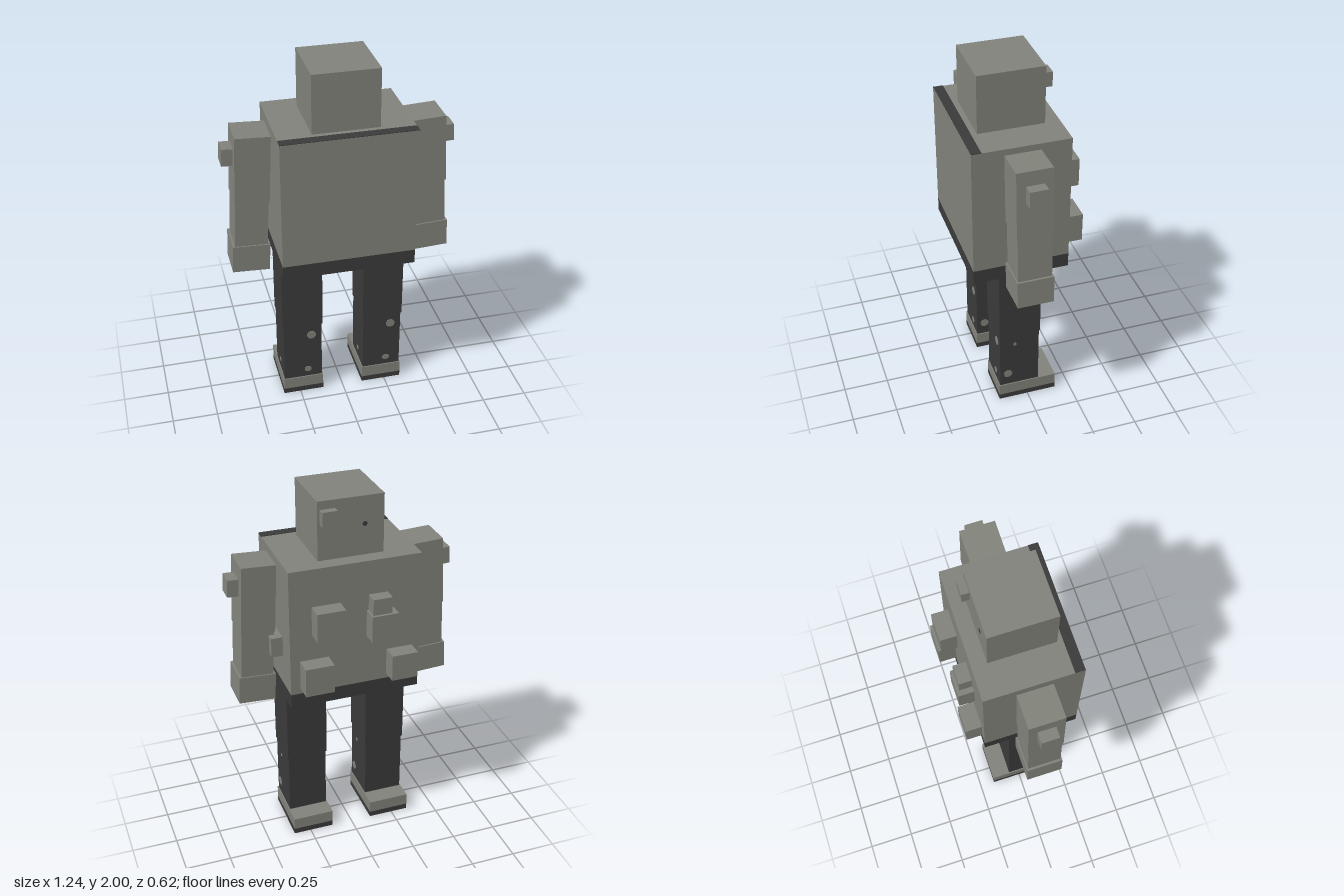
import * as THREE from 'three';

const grey = new THREE.MeshStandardMaterial({ color: 0x81827a });
grey.name = 'stone grey';
const dark = new THREE.MeshStandardMaterial({ color: 0x3a3a3a });
dark.name = 'charcoal';

// Box given by its min and max along each axis
function box(parent, name, mat, [x0, x1], [y0, y1], [z0, z1]) {
  const mesh = new THREE.Mesh(new THREE.BoxGeometry(x1 - x0, y1 - y0, z1 - z0), mat);
  mesh.position.set((x0 + x1) / 2, (y0 + y1) / 2, (z0 + z1) / 2);
  mesh.name = name;
  parent.add(mesh);
  return mesh;
}

// Thin round spot facing along an axis
function spot(parent, name, mat, r, pos, axis) {
  const geo = new THREE.CylinderGeometry(r, r, 0.006, 10);
  if (axis === 'x') geo.rotateZ(Math.PI / 2);
  else geo.rotateX(Math.PI / 2);
  const mesh = new THREE.Mesh(geo, mat);
  mesh.position.set(...pos);
  mesh.name = name;
  parent.add(mesh);
  return mesh;
}

function makeArm(side) {
  const arm = new THREE.Group();
  arm.name = side > 0 ? 'leftArm' : 'rightArm';
  box(arm, 'upperArm', grey, [-0.0925, 0.0925], [-0.38, 0], [-0.048, 0.143]);
  box(arm, 'forearm', grey, [-0.0875, 0.0875], [-0.64, -0.38], [-0.044, 0.138]);
  box(arm, 'hand', grey, [-0.1, 0.1], [-0.79, -0.635], [-0.051, 0.145]);
  const knob = [0.07, 0.152];
  box(arm, 'shoulderKnob', grey, side > 0 ? knob : [-knob[1], -knob[0]], [-0.175, -0.08], [-0.002, 0.094]);
  arm.position.set(side * 0.462, 1.656, 0);
  arm.rotation.z = side * 0.048;
  return arm;
}

function makeLeg(side) {
  const leg = new THREE.Group();
  leg.name = side > 0 ? 'leftLeg' : 'rightLeg';
  box(leg, 'thigh', dark, [-0.114, 0.114], [0.46, 0.89], [-0.07, 0.166]);
  box(leg, 'shin', dark, [-0.109, 0.109], [0.1, 0.46], [-0.065, 0.161]);
  box(leg, 'foot', grey, [-0.115, 0.115], [0.032, 0.1], [-0.166, 0.167]);
  box(leg, 'sole', dark, [-0.115, 0.115], [0, 0.032], [-0.166, 0.167]);
  // Worn spots on the shin
  spot(leg, 'kneeSpot', grey, 0.026, [0.05, 0.39, 0.161], 'z');
  spot(leg, 'ankleSpot', grey, 0.021, [0.028, 0.15, 0.161], 'z').scale.y = 0.85;
  spot(leg, 'sideSpot', grey, 0.025, [0.109, 0.178, 0.115], 'x');
  spot(leg, 'smallSideSpot', grey, 0.01, [0.109, 0.39, 0.075], 'x');
  spot(leg, 'otherSideSpot', grey, 0.014, [-0.109, 0.16, 0.05], 'x');
  leg.position.x = side * 0.231;
  return leg;
}

export function createModel() {
  const model = new THREE.Group();
  model.name = 'blockFigure';

  // Torso with dark hem and dark strip along the top front edge
  box(model, 'torso', grey, [-0.36, 0.36], [0.97, 1.68], [-0.215, 0.309]);
  box(model, 'hem', dark, [-0.36, 0.36], [0.89, 0.97], [-0.215, 0.309]);
  box(model, 'collarStrip', dark, [-0.36, 0.36], [1.677, 1.683], [0.255, 0.308]);
  box(model, 'sideBlock', grey, [0.34, 0.423], [1.143, 1.253], [-0.088, 0.02]);

  // Blocks standing out from the back: x range, y range, rear z
  const blocks = [
    [[0.085, 0.24], [1.31, 1.47], -0.305],
    [[-0.175, -0.07], [1.385, 1.49], -0.285],
    [[-0.205, -0.06], [1.25, 1.4], -0.3],
    [[0.15, 0.307], [1.003, 1.165], -0.31],
    [[-0.32, -0.175], [1.0, 1.148], -0.304],
  ];
  for (const [x, y, z] of blocks) box(model, 'backBlock', grey, x, y, [z, -0.2]);

  // Head
  box(model, 'head', grey, [-0.179, 0.178], [1.68, 2], [-0.134, 0.224]);
  box(model, 'headKnob', grey, [0.083, 0.164], [1.875, 1.955], [-0.174, -0.12]);
  spot(model, 'headSpot', dark, 0.013, [-0.075, 1.85, -0.134], 'z');

  for (const side of [1, -1]) model.add(makeArm(side), makeLeg(side));
  return model;
}
